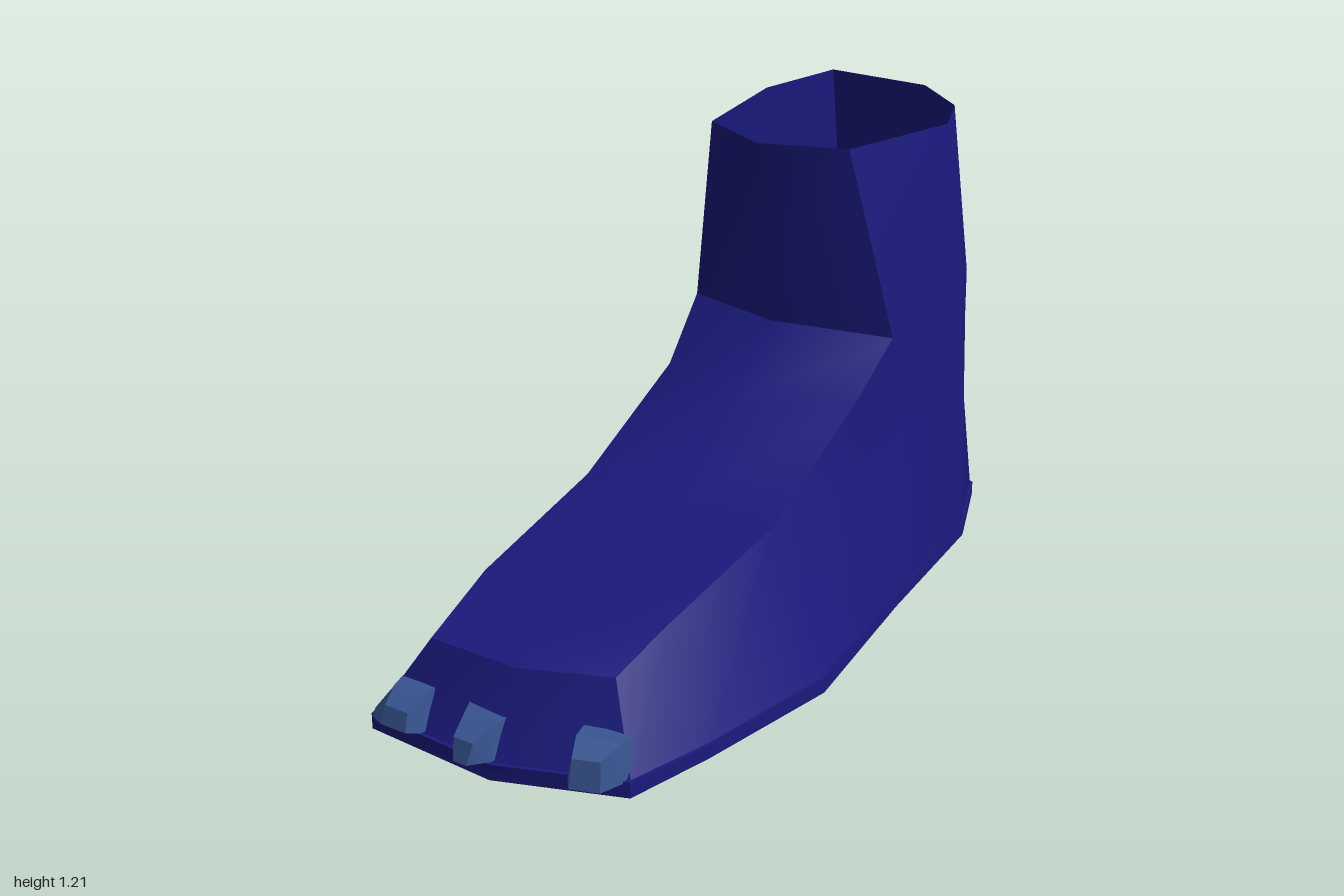
import * as THREE from 'three';
import { toCreasedNormals } from 'three/addons/utils/BufferGeometryUtils.js';

// Collects corner points into triangles; quads run counter-clockwise from outside
function surface() {
  const tris = [];
  const tri = (a, b, c) => { if (a !== b && b !== c && c !== a) tris.push(a, b, c); };
  return {
    quad(a, b, c, d) { tri(a, b, c); tri(a, c, d); },
    build(crease) {
      const g = new THREE.BufferGeometry();
      g.setAttribute('position', new THREE.Float32BufferAttribute(tris.flat(), 3));
      return toCreasedNormals(g, crease);
    },
  };
}

// Sole outline [x, z]: toe centre, along the +x side, round the heel, back along -x
const OUTLINE = [
  [0, 0.957], [0.305, 0.84], [0.37, 0.63], [0.422, 0.23], [0.36, -0.2], [0.29, -0.67], [0.18, -0.92],
  [0, -1], [-0.25, -0.98], [-0.355, -0.7], [-0.365, -0.2], [-0.405, 0.2], [-0.428, 0.62], [-0.37, 0.935],
];
const N = OUTLINE.length;
const SOLE_TOP = [0.04, 0.04, 0.055, 0.06, 0.08, 0.08, 0.08, 0.08, 0.08, 0.08, 0.08, 0.06, 0.055, 0.04];
const SOLE_BOTTOM = [0, 0, 0.02, 0.02, 0.045, 0.045, 0.045, 0.045, 0.045, 0.045, 0.045, 0.02, 0.02, 0];

// Wall points above each outline point: instep edge, or low / mid / ankle / rim
const WALL = [
  [[0, 0.235, 0.85]],
  [[0.21, 0.235, 0.76]],
  [[0.24, 0.305, 0.62]],
  [[0.265, 0.405, 0.22]],
  [[0.285, 0.36, -0.18], [0.26, 0.6, -0.16], [0.273, 0.72, -0.3], [0.18, 1.203, -0.23]],
  [[0.283, 0.36, -0.66], [0.28, 0.62, -0.63], [0.281, 0.84, -0.6], [0.26, 1.203, -0.56]],
  [[0.18, 0.36, -0.85], [0.19, 0.62, -0.82], [0.195, 0.74, -0.81], [0.19, 1.205, -0.72]],
  [[0, 0.36, -0.99], [0.01, 0.63, -0.91], [0.02, 0.76, -0.905], [0.03, 1.207, -0.845]],
  [[-0.25, 0.36, -0.965], [-0.25, 0.63, -0.9], [-0.25, 0.76, -0.895], [-0.25, 1.21, -0.84]],
  [[-0.345, 0.36, -0.68], [-0.332, 0.62, -0.65], [-0.318, 0.84, -0.62], [-0.29, 1.21, -0.58]],
  [[-0.34, 0.36, -0.15], [-0.262, 0.6, -0.1], [-0.275, 0.745, -0.24], [-0.22, 1.21, -0.23]],
  [[-0.283, 0.405, 0.22]],
  [[-0.28, 0.305, 0.62]],
  [[-0.25, 0.235, 0.85]],
];

// Columns of the upper, each starting just inside the sole's top edge
const COLUMNS = WALL.map((rows, i) => {
  const [x, z] = OUTLINE[i];
  return [[x * 0.985, SOLE_TOP[i], z * 0.99], ...rows];
});

function soleGeometry() {
  const s = surface();
  const top = OUTLINE.map(([x, z], i) => [x, SOLE_TOP[i], z]);
  const bottom = OUTLINE.map(([x, z], i) => [x, SOLE_BOTTOM[i], z]);
  for (let i = 0; i < N; i++) {
    const j = (i + 1) % N;
    s.quad(bottom[i], bottom[j], top[j], top[i]);
  }
  // Insole and tread as strips across the width
  for (let i = 0; i < N / 2; i++) {
    const l0 = (N - i) % N, l1 = N - i - 1;
    s.quad(top[l0], top[i], top[i + 1], top[l1]);
    s.quad(bottom[l1], bottom[i + 1], bottom[i], bottom[l0]);
  }
  return s.build(0.5);
}

// Side and heel walls, from one toe corner round to the other
function wallGeometry() {
  const s = surface();
  const at = (col, r) => col[Math.min(r, col.length - 1)];
  for (let i = 1; i < N - 1; i++) {
    const a = COLUMNS[i], b = COLUMNS[i + 1];
    const rows = i === 3 || i === 10 ? 3 : Math.max(a.length, b.length);
    for (let r = 0; r < rows - 1; r++) s.quad(at(a, r), at(b, r), at(b, r + 1), at(a, r + 1));
  }
  return s.build(0.8);
}

// Rows up the front of the boot: -x edge, centre, +x edge
const C = COLUMNS;
const FRONT = [
  [C[13][0], C[0][0], C[1][0]],
  [C[13][1], C[0][1], C[1][1]],
  [C[12][1], [0, 0.308, 0.62], C[2][1]],
  [C[11][1], [0, 0.408, 0.22], C[3][1]],
  [C[10][2], [0, 0.59, -0.01], C[4][2]],
  [C[10][3], [-0.01, 0.745, -0.18], C[4][3]],
  [C[10][4], [-0.02, 1.21, -0.13], C[4][4]],
];

function frontGeometry(first, last) {
  const s = surface();
  for (let r = first; r < last; r++) {
    for (let k = 0; k < 2; k++) s.quad(FRONT[r][k], FRONT[r][k + 1], FRONT[r + 1][k + 1], FRONT[r + 1][k]);
  }
  return s.build(1.2);
}

// Claw sections, root to tip; corners run lower -x, lower +x, upper +x, upper -x
const CLAWS = {
  rightClaw: [
    [[-0.375, 0.045, 0.915], [-0.205, 0.045, 0.9], [-0.21, 0.137, 0.89], [-0.31, 0.137, 0.885]],
    [[-0.355, 0.045, 0.95], [-0.208, 0.045, 0.945], [-0.215, 0.13, 0.925], [-0.305, 0.13, 0.92]],
    [[-0.295, 0.06, 0.985], [-0.22, 0.06, 0.985], [-0.222, 0.105, 0.972], [-0.29, 0.105, 0.972]],
  ],
  middleClaw: [
    [[-0.11, 0.045, 0.9], [0.013, 0.045, 0.9], [0.008, 0.137, 0.89], [-0.105, 0.137, 0.89]],
    [[-0.1, 0.045, 0.945], [0.004, 0.045, 0.95], [0, 0.128, 0.925], [-0.095, 0.128, 0.92]],
    [[-0.066, 0.048, 1], [-0.028, 0.048, 1], [-0.018, 0.1, 0.985], [-0.075, 0.1, 0.985]],
  ],
  leftClaw: [
    [[0.165, 0.045, 0.87], [0.295, 0.05, 0.82], [0.285, 0.13, 0.8], [0.17, 0.137, 0.82]],
    [[0.175, 0.035, 0.897], [0.29, 0.035, 0.847], [0.28, 0.13, 0.83], [0.18, 0.132, 0.868]],
    [[0.2, 0.03, 0.925], [0.268, 0.03, 0.9], [0.262, 0.1, 0.888], [0.2, 0.1, 0.912]],
  ],
};

function clawGeometry(sections) {
  const s = surface();
  for (let n = 0; n < sections.length - 1; n++) {
    const a = sections[n], b = sections[n + 1];
    for (let k = 0; k < 4; k++) {
      const m = (k + 1) % 4;
      s.quad(a[k], a[m], b[m], b[k]);
    }
  }
  s.quad(...sections.at(-1));
  return s.build(0.3);
}

export function createModel() {
  const navy = new THREE.MeshStandardMaterial({ color: 0x1a1a7e, side: THREE.DoubleSide });
  navy.name = 'navy';
  const steelBlue = new THREE.MeshStandardMaterial({ color: 0x385591 });
  steelBlue.name = 'steelBlue';

  const model = new THREE.Group();
  model.name = 'clawedBoot';
  const add = (name, geometry, material) => {
    const mesh = new THREE.Mesh(geometry, material);
    mesh.name = name;
    model.add(mesh);
  };

  add('sole', soleGeometry(), navy);
  add('sideWalls', wallGeometry(), navy);
  add('toeCap', frontGeometry(0, 1), navy);
  add('instep', frontGeometry(1, 5), navy);
  add('shaftFront', frontGeometry(5, 6), navy);
  for (const [name, sections] of Object.entries(CLAWS)) add(name, clawGeometry(sections), steelBlue);
  return model;
}
